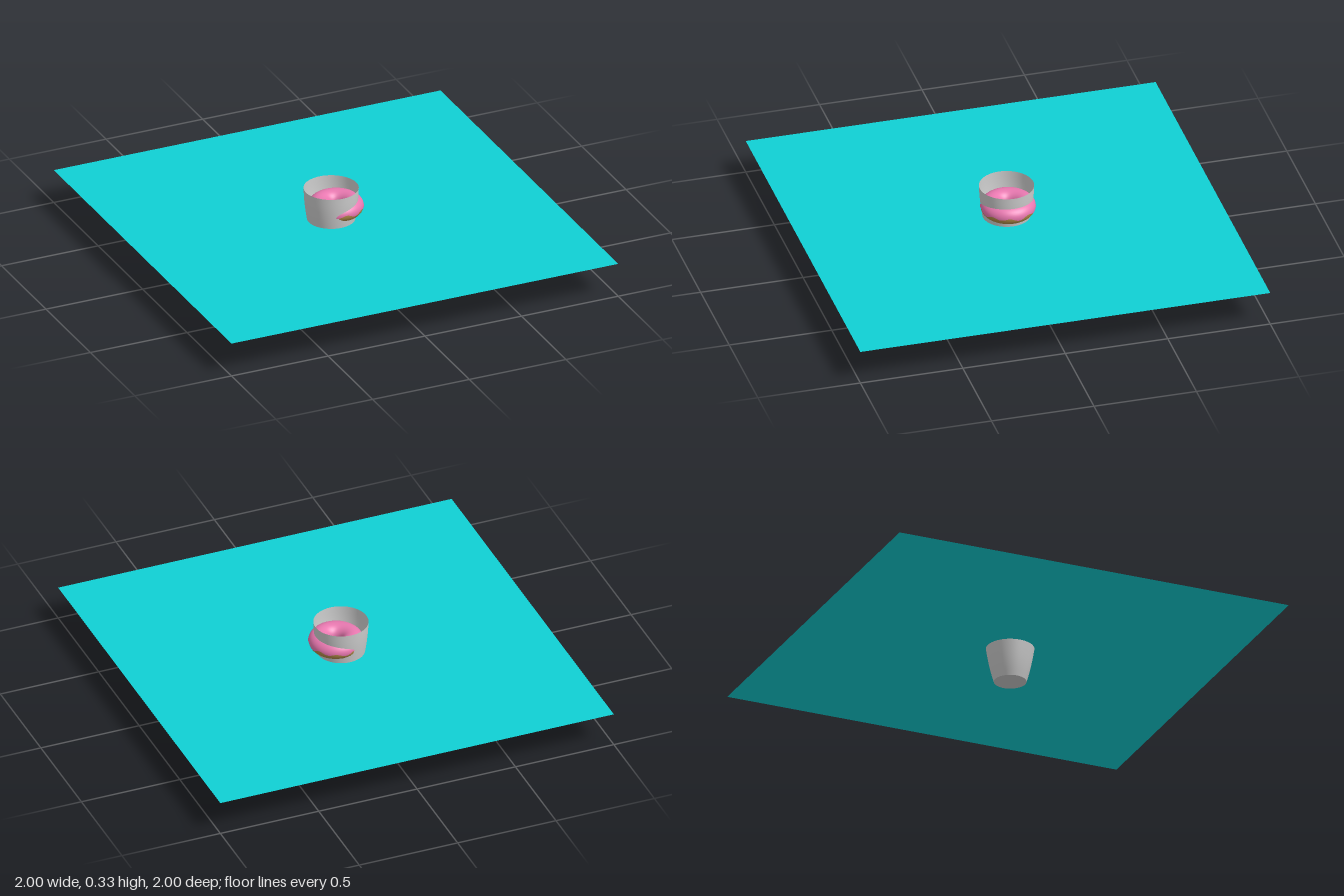
import * as THREE from 'three';
import { ParametricGeometry } from 'three/addons/geometries/ParametricGeometry.js';

const CUP_X = -0.025;
const RING = { y: 0.232, major: 0.08, tube: 0.049, squash: 0.9 };

function part(name, geometry, color) {
  const material = new THREE.MeshStandardMaterial({ color, side: THREE.DoubleSide });
  const mesh = new THREE.Mesh(geometry, material);
  mesh.name = name;
  return mesh;
}

// Thin-walled tapered cup, open at the top
function createCup() {
  const cup = new THREE.Group();
  cup.name = 'cup';
  const profile = new THREE.SplineCurve([
    [0.077, 0], [0.091, 0.05], [0.104, 0.11], [0.119, 0.2], [0.127, 0.27], [0.13, 0.33],
  ].map(([r, y]) => new THREE.Vector2(r, y)));
  cup.add(part('cupWall', new THREE.LatheGeometry(profile.getPoints(20), 48), 0xcccccc));

  const base = part('cupBase', new THREE.CircleGeometry(0.077, 48), 0xcccccc);
  base.rotation.x = Math.PI / 2;
  cup.add(base);
  cup.position.x = CUP_X;
  return cup;
}

// Icing wraps the upper half of the ring, with a wavy lower edge
function createIcing() {
  const tube = RING.tube + 0.002;
  const surface = (u, v, target) => {
    const a = u * Math.PI * 2;
    const outer = 0.07 + 0.13 * Math.sin(a * 9) + 0.06 * Math.sin(a * 5 + 1);
    const inner = Math.PI + 0.1 + 0.1 * Math.sin(a * 6);
    const t = THREE.MathUtils.lerp(-outer, inner, v);
    const r = RING.major + tube * Math.cos(t);
    target.set(r * Math.cos(a), tube * RING.squash * Math.sin(t), -r * Math.sin(a));
  };
  return part('icing', new ParametricGeometry(surface, 96, 20), 0xe878b0);
}

// Ring doughnut that pokes through one side of the cup
function createDoughnut() {
  const doughnut = new THREE.Group();
  doughnut.name = 'doughnut';
  const dough = new THREE.TorusGeometry(RING.major, RING.tube, 24, 64);
  dough.rotateX(Math.PI / 2);
  dough.scale(1, RING.squash, 1);
  doughnut.add(part('dough', dough, 0xb08a48), createIcing());
  doughnut.position.y = RING.y;
  return doughnut;
}

export function createModel() {
  const model = new THREE.Group();
  model.name = 'cupAndDoughnut';

  // Flat square sheet that cuts through the middle of the cup
  const sheet = part('squareSheet', new THREE.PlaneGeometry(2, 2), 0x10d0d4);
  sheet.rotation.x = -Math.PI / 2;
  sheet.position.y = 0.17;

  model.add(sheet, createCup(), createDoughnut());
  return model;
}
